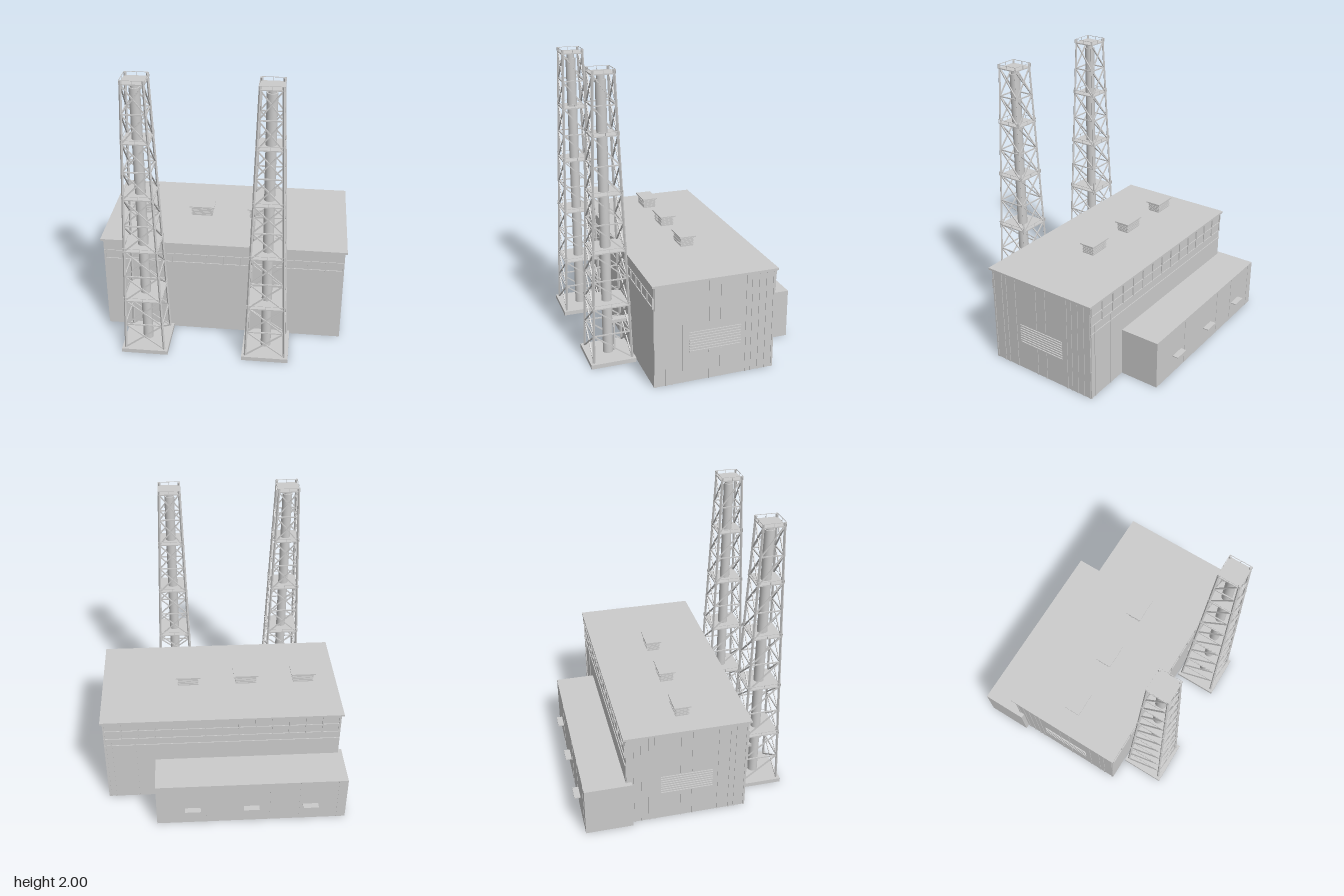
import * as THREE from 'three';

const mat = new THREE.MeshStandardMaterial({ color: 0xcccccc });

// Box given by its extents on each axis
function box(parent, name, x0, x1, y0, y1, z0, z1) {
  const m = new THREE.Mesh(new THREE.BoxGeometry(x1 - x0, y1 - y0, z1 - z0), mat);
  m.position.set((x0 + x1) / 2, (y0 + y1) / 2, (z0 + z1) / 2);
  m.name = name;
  parent.add(m);
  return m;
}

// Square bar between two points
function bar(parent, name, a, b, t) {
  const p = new THREE.Vector3(...a), q = new THREE.Vector3(...b);
  const m = new THREE.Mesh(new THREE.BoxGeometry(t, t, p.distanceTo(q)), mat);
  m.position.copy(p).add(q).multiplyScalar(0.5);
  m.lookAt(q);
  m.name = name;
  parent.add(m);
}

function group(parent, name) {
  const g = new THREE.Group();
  g.name = name;
  parent.add(g);
  return g;
}

const BASE = 0.03, STEP = 0.194, LEVELS = 10;
const half = y => 0.134 - 0.064 * (y - BASE) / 1.94;
const CORNERS = [[1, 1], [-1, 1], [-1, -1], [1, -1]];

// Lattice tower around a flue, built about its own axis
function chimneyTower() {
  const g = new THREE.Group();
  g.name = 'chimneyTower';
  box(g, 'foundation', -0.16, 0.16, 0, BASE, -0.157, 0.157);

  // Flue with its rim
  const flue = new THREE.Mesh(new THREE.CylinderGeometry(0.035, 0.035, 1.9, 24), mat);
  flue.position.y = BASE + 0.95;
  flue.name = 'flue';
  const rim = new THREE.Mesh(new THREE.CylinderGeometry(0.026, 0.026, 0.03, 24), mat);
  rim.position.y = 1.945;
  rim.name = 'flueRim';
  g.add(flue, rim);

  // Duct to the building and its post
  box(g, 'duct', -0.025, 0.025, 0.25, 0.272, -0.17, -0.025);
  box(g, 'ductPost', -0.006, 0.006, BASE, 0.25, -0.052, -0.04);

  // Legs
  const top = half(1.99), foot = half(BASE);
  for (const [sx, sz] of CORNERS)
    bar(g, 'leg', [sx * foot, BASE, sz * foot], [sx * top, 1.995, sz * top], 0.013);

  for (let i = 0; i < LEVELS; i++) {
    const y0 = BASE + i * STEP, y1 = y0 + STEP, a = half(y0), b = half(y1);
    // Horizontal ring
    CORNERS.forEach(([sx, sz], k) => {
      const [nx, nz] = CORNERS[(k + 1) % 4];
      bar(g, 'strut', [sx * b, y1, sz * b], [nx * b, y1, nz * b], 0.008);
    });
    // Crossed braces front and back, single braces on the sides
    for (const s of [1, -1]) {
      bar(g, 'brace', [-a, y0, s * a], [b, y1, s * b], 0.008);
      bar(g, 'brace', [a, y0, s * a], [-b, y1, s * b], 0.008);
      bar(g, 'brace', [s * a, y0, -a], [s * b, y1, b], 0.008);
    }
    // Platform with handrail on every second level
    if (i % 2 === 1) {
      const w = b + 0.007, r = y1 + 0.027;
      box(g, 'platform', -w, w, y1 - 0.004, y1 + 0.004, -w, w);
      CORNERS.forEach(([sx, sz], k) => {
        const [nx, nz] = CORNERS[(k + 1) % 4];
        bar(g, 'handrail', [sx * w, r, sz * w], [nx * w, r, nz * w], 0.003);
        bar(g, 'railPost', [sx * w, y1, sz * w], [sx * w, r, sz * w], 0.004);
        const mx = (sx + nx) / 2 * w, mz = (sz + nz) / 2 * w;
        bar(g, 'railPost', [mx, y1, mz], [mx, r, mz], 0.003);
      });
    }
  }
  return g;
}

// Roof ventilator with slatted sides and an overhanging cap
function roofVent(parent, x) {
  const g = group(parent, 'roofVent');
  box(g, 'ventBody', x - 0.073, x + 0.073, 0.72, 0.793, -0.044, 0.044);
  for (let i = 0; i < 5; i++) {
    const y = 0.733 + i * 0.012;
    box(g, 'ventSlat', x - 0.077, x + 0.077, y, y + 0.004, -0.048, 0.048);
  }
  box(g, 'ventCap', x - 0.09, x + 0.09, 0.792, 0.8, -0.058, 0.058);
}

export function createModel() {
  const model = new THREE.Group();
  model.name = 'boilerHouse';

  // Main hall and roof
  const hall = group(model, 'mainHall');
  box(hall, 'hallWalls', -0.828, 0.838, 0, 0.712, -0.418, 0.42);
  box(hall, 'roofSlab', -0.847, 0.856, 0.71, 0.724, -0.432, 0.434);

  // Side walls: vertical ribs and louvre grille
  for (const s of [1, -1]) {
    const x = s > 0 ? 0.838 : -0.828;
    const side = (name, y0, y1, z0, z1, d) =>
      box(hall, name, Math.min(x, x + s * d), Math.max(x, x + s * d), y0, y1, z0, z1);
    for (const z of [0.41, 0.34, 0.3, 0.22, -0.22, -0.26, -0.31, -0.36, -0.41])
      side('wallRib', 0, 0.71, z - 0.005, z + 0.005, 0.004);
    for (const z of [0.04, -0.04]) {
      side('wallRib', 0, 0.21, z - 0.005, z + 0.005, 0.004);
      side('wallRib', 0.37, 0.71, z - 0.005, z + 0.005, 0.004);
    }
    for (let i = 0; i < 8; i++)
      side('louvreSlat', 0.215 + i * 0.019, 0.224 + i * 0.019, -0.18, 0.18, 0.008);
  }

  // Front window band: sill, head and mullions
  box(hall, 'frontSill', -0.828, 0.838, 0.56, 0.567, 0.42, 0.427);
  box(hall, 'frontHead', -0.828, 0.838, 0.626, 0.632, 0.42, 0.425);
  for (let i = 0; i <= 14; i++) {
    const x = -0.82 + i * 0.118;
    box(hall, 'frontMullion', x - 0.004, x + 0.004, 0.56, 0.63, 0.42, 0.428);
  }

  // Back window band and string courses
  box(hall, 'backHead', -0.828, 0.838, 0.632, 0.638, -0.424, -0.418);
  box(hall, 'backSill', -0.828, 0.838, 0.56, 0.567, -0.424, -0.418);
  box(hall, 'backCourse', -0.828, 0.838, 0.5, 0.506, -0.424, -0.418);
  for (let i = 0; i <= 14; i++) {
    const x = -0.82 + i * 0.118;
    box(hall, 'backMullion', x - 0.004, x + 0.004, 0.567, 0.632, -0.424, -0.418);
    box(hall, 'eaveBracket', x - 0.004, x + 0.004, 0.64, 0.71, -0.427, -0.418);
  }
  for (const x of [0.83, 0.79, 0.62])
    box(hall, 'backRib', x - 0.005, x + 0.005, 0, 0.56, -0.422, -0.418);

  for (const x of [-0.605, -0.185, 0.235]) roofVent(model, x);

  // Rear annex with door canopies and wall joints
  const annex = group(model, 'annex');
  box(annex, 'annexBody', -0.861, 0.487, 0, 0.354, -0.703, -0.38);
  for (const x of [-0.605, -0.185, 0.23])
    box(annex, 'doorCanopy', x - 0.055, x + 0.055, 0.136, 0.143, -0.745, -0.7);
  for (const x of [0.13, -0.32, -0.53, -0.8])
    box(annex, 'annexJoint', x - 0.003, x + 0.003, 0, 0.354, -0.705, -0.703);

  // Pair of towers in front
  for (const x of [-0.508, 0.326]) {
    const tower = chimneyTower();
    tower.position.set(x, 0, 0.587);
    model.add(tower);
  }
  return model;
}
